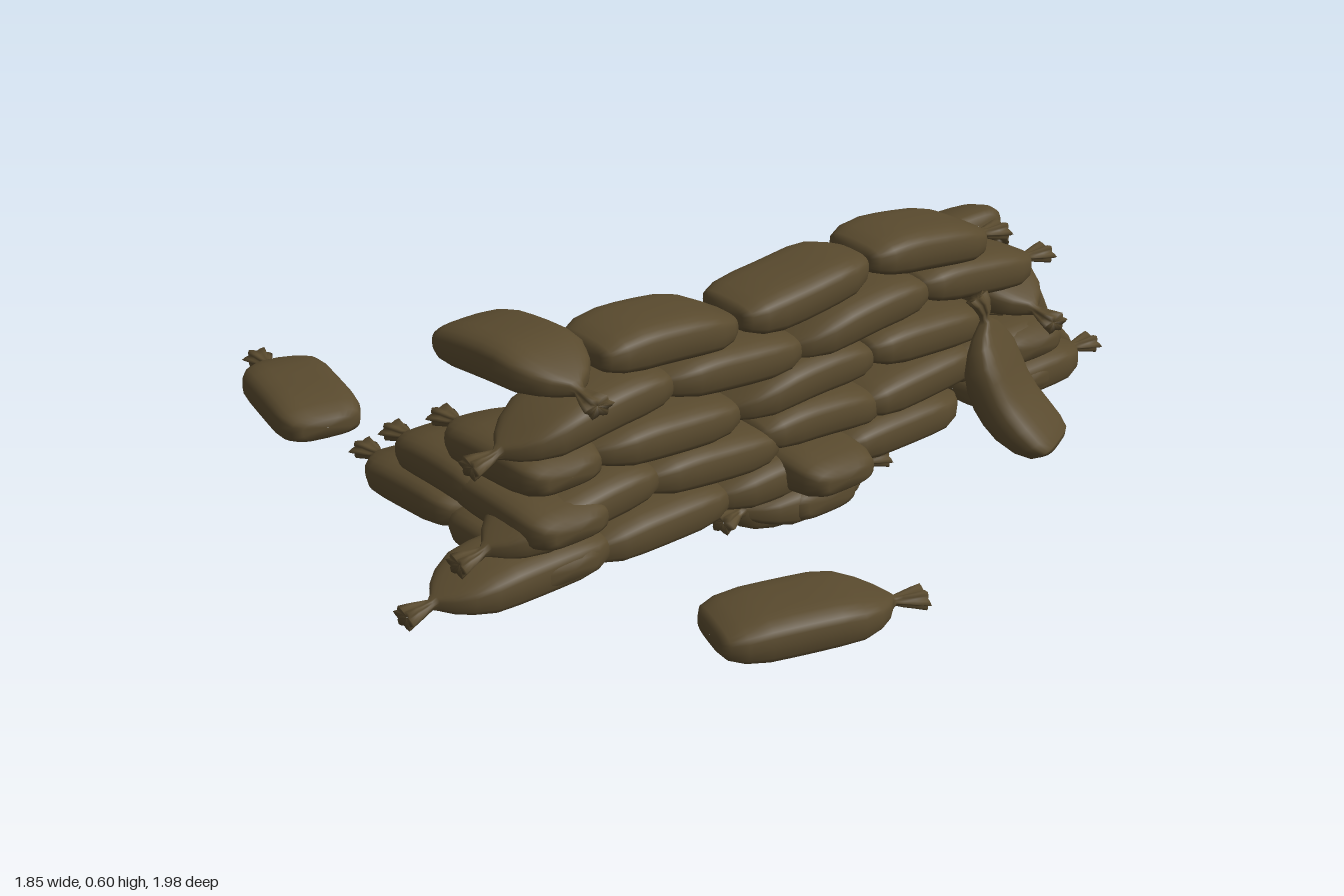
import * as THREE from 'three';

const PI = Math.PI, HALF = PI / 2, SIDES = 24;

// Bag profile along its length: x, half width, half height, drop
const PROFILE = [
  [-0.195, 0.001, 0.001, 0], [-0.195, 0.06, 0.02, 0], [-0.183, 0.082, 0.031, 0],
  [-0.15, 0.096, 0.042, 0], [-0.1, 0.1, 0.05, 0], [-0.05, 0.1, 0.051, 0],
  [0, 0.1, 0.051, 0], [0.05, 0.1, 0.05, 0], [0.1, 0.096, 0.045, -0.003],
  [0.145, 0.075, 0.033, -0.008], [0.175, 0.048, 0.024, -0.012], [0.195, 0.018, 0.016, -0.014],
  [0.205, 0.012, 0.011, -0.016], [0.22, 0.015, 0.012, -0.018],
  [0.245, 0.024, 0.016, -0.02], [0.27, 0.031, 0.02, -0.023], [0.262, 0.001, 0.001, -0.023],
];

// Sack with a blunt end at -x and a tied neck at +x.
// rise lifts the tied half in an S curve; arch bows the middle up.
function bagGeometry(rise, arch) {
  const pos = [], index = [];
  const power = (v, e) => Math.sign(v) * Math.abs(v) ** e;
  PROFILE.forEach(([x, w, h, drop]) => {
    const u = THREE.MathUtils.clamp(x / 0.19, -1.2, 1.2);
    const lift = drop + rise * Math.sin(u * HALF * 0.85) + arch * (0.5 - u * u);
    const neck = x > 0.2;
    for (let j = 0; j < SIDES; j++) {
      const a = (j / SIDES) * PI * 2;
      const e = neck ? 1 : 0.62;
      const ruffle = x > 0.21 ? 1 + 0.22 * Math.cos(a * 6) : 1;
      pos.push(x, lift + power(Math.sin(a), e) * h * ruffle, power(Math.cos(a), e) * w * ruffle);
    }
  });
  for (let i = 0; i < PROFILE.length - 1; i++) {
    for (let j = 0; j < SIDES; j++) {
      const k = (j + 1) % SIDES;
      const a = i * SIDES + j, b = a + SIDES, c = (i + 1) * SIDES + k, d = i * SIDES + k;
      index.push(a, b, c, a, c, d);
    }
  }
  const g = new THREE.BufferGeometry();
  g.setAttribute('position', new THREE.Float32BufferAttribute(pos, 3));
  g.setIndex(index);
  g.computeVertexNormals();
  return g;
}

export function createModel() {
  const model = new THREE.Group();
  model.name = 'sandbagBarricade';
  const burlap = new THREE.MeshStandardMaterial({ color: 0x594a2e });
  burlap.name = 'brown burlap';

  // yaw 0 points the tied neck to +x, HALF to -z, PI to -x, -HALF to +z
  function bag(parent, name, x, y, z, yaw, { rise = 0, arch = 0, pitch = 0, length = 1 } = {}) {
    const mesh = new THREE.Mesh(bagGeometry(rise, arch), burlap);
    mesh.name = name;
    mesh.position.set(x, y, z);
    mesh.rotation.set(0, yaw, pitch, 'YXZ');
    mesh.scale.x = length;
    parent.add(mesh);
  }
  function group(name) {
    const g = new THREE.Group();
    g.name = name;
    model.add(g);
    return g;
  }

  // Long wall: each course is a height and its bags [z, neck direction, rise, arch]
  const wall = group('longWall');
  const courses = [
    [0.15, [[0.72, 1, 0, 0], [0.4, 1, 0, 0], [0.05, 1, 0, 0], [-0.32, -1, 0, 0], [-0.72, -1, 0, 0]]],
    [0.25, [[0.59, 1, -0.02, 0.01], [0.26, 1, 0.015, 0], [-0.08, -1, -0.015, 0.01], [-0.38, -1, 0.01, 0], [-0.58, 1, 0, 0]]],
    [0.355, [[0.37, 1, 0.012, 0], [-0.01, 1, -0.008, 0.015], [-0.39, -1, -0.01, 0]]],
    [0.455, [[0.55, 1, -0.018, 0.01], [0.2, 1, 0.015, 0], [-0.17, 1, -0.015, 0.01], [-0.54, -1, -0.02, 0]]],
    [0.56, [[0.34, -1, -0.016, 0.008], [-0.03, -1, 0.016, -0.008], [-0.39, -1, -0.022, 0.005]]],
  ];
  courses.forEach(([y, bags]) => bags.forEach(([z, dir, rise, arch]) =>
    bag(wall, 'wallBag', 0.275, y, z, -dir * HALF, { rise, arch })));

  // Short return walls at both ends
  for (const z of [0.64, -0.68]) {
    const wing = group(z > 0 ? 'frontWing' : 'backWing');
    bag(wing, 'wingBag', -0.135, 0.15, z, PI, { rise: -0.012 });
    bag(wing, 'wingBag', 0.18, 0.15, z, PI);
    bag(wing, 'wingBag', -0.01, 0.25, z, PI, { arch: 0.012, rise: -0.006 });
    bag(wing, 'wingBag', 0.2, 0.25, z, PI);
    if (z > 0) {
      bag(wing, 'wingBag', 0.18, 0.355, z, PI, { rise: -0.01 });
      bag(wing, 'wingTopBag', 0.17, 0.558, z - 0.02, 0, { rise: 0.015, arch: 0.012 });
    } else {
      bag(wing, 'wingBag', 0.17, 0.36, z, 0, { arch: 0.01 });
      bag(wing, 'drapedBag', 0.02, 0.4, z, PI, { rise: -0.03, pitch: -0.3, length: 0.93 });
    }
  }

  // Bag laid through the wall and bags sunk under its middle
  const base = group('sunkenBags');
  bag(base, 'crossBag', 0.27, 0.165, -0.03, PI);
  bag(base, 'sunkenBag', 0.265, 0.078, -0.03, PI, { pitch: -0.06, length: 0.72 });
  bag(base, 'sunkenBag', 0.285, 0.082, -0.02, -HALF + 0.2, { pitch: 0.08, arch: -0.01, length: 0.9 });
  bag(base, 'sunkenBag', 0.285, 0.085, -0.02, HALF - 0.2, { pitch: 0.08, arch: -0.01, length: 0.9 });

  // Slumped bags leaning on the outside
  const leaning = group('leaningBags');
  const slump = { pitch: 1.05, arch: -0.05, length: 0.82 };
  bag(leaning, 'leaningBag', 0.47, 0.235, -0.51, PI + 0.46, slump);
  bag(leaning, 'leaningBag', 0.17, 0.235, -0.845, -HALF, slump);

  // Loose bags lying apart
  const loose = group('looseBags');
  bag(loose, 'looseBag', -0.665, 0.15, 0.645, PI - 0.2);
  bag(loose, 'looseBag', 0.79, 0.15, 0.4, 1.27);

  return model;
}
